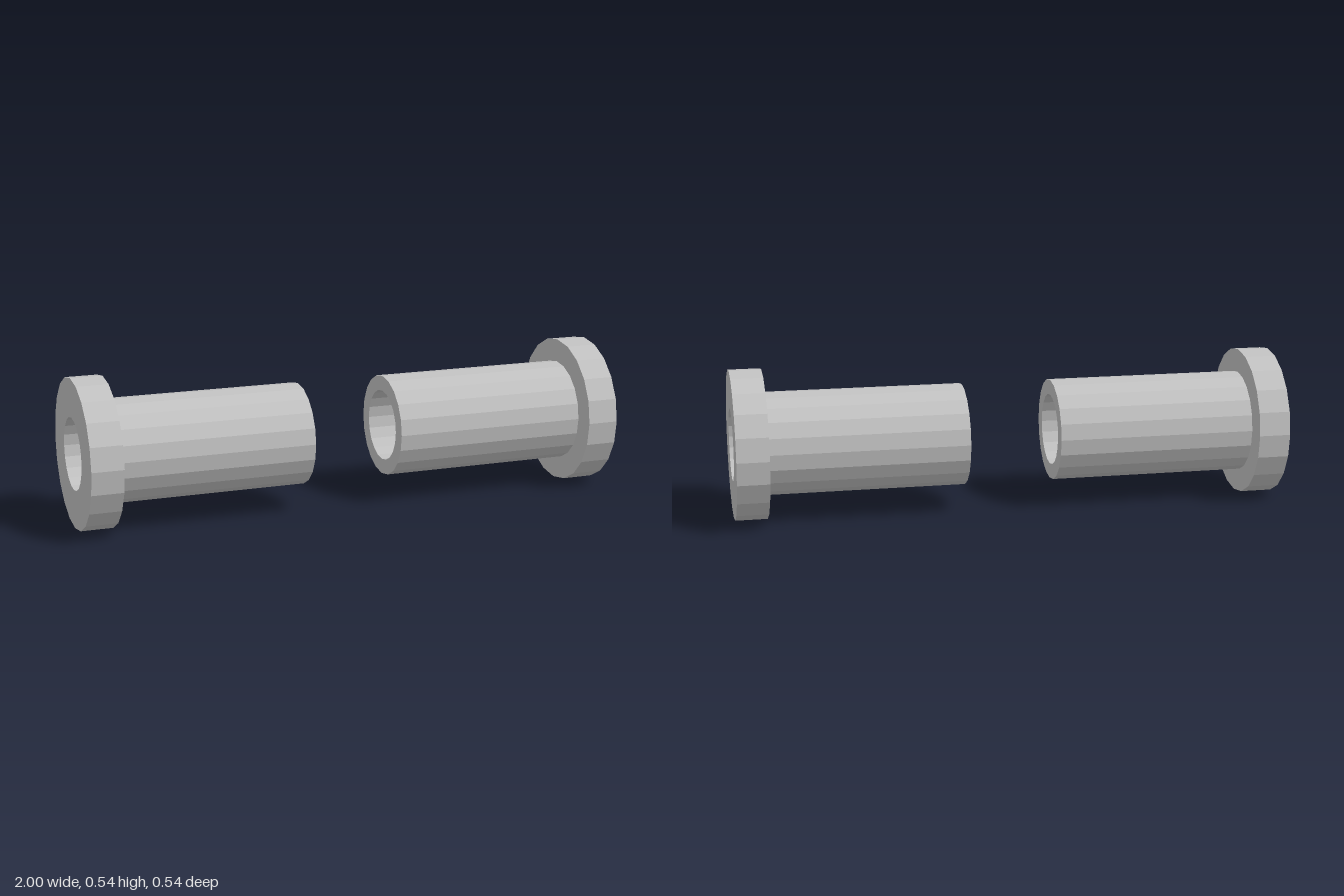
import * as THREE from 'three';

const SIDES = 20;
const RADIUS = { flange: 0.27, sleeve: 0.185, bore: 0.13 };
const X = { inner: 0.165, shoulder: 0.885, outer: 1 };

// Hollow flanged bushing: one closed profile (radius, distance from centre)
function bushingGeometry() {
  const profile = [
    [RADIUS.bore, X.inner],
    [RADIUS.sleeve, X.inner],
    [RADIUS.sleeve, X.shoulder],
    [RADIUS.flange, X.shoulder],
    [RADIUS.flange, X.outer],
    [RADIUS.bore, X.outer],
    [RADIUS.bore, X.inner],
  ].map(([r, d]) => new THREE.Vector2(r, d));
  return new THREE.LatheGeometry(profile, SIDES);
}

export function createModel() {
  const model = new THREE.Group();
  model.name = 'flangedBushings';

  const greyMetal = new THREE.MeshStandardMaterial({ color: 0xc0c0c0, flatShading: true });
  greyMetal.name = 'greyMetal';

  // A facing pair, flanges outward
  const geometry = bushingGeometry();
  for (const [name, side] of [['leftBushing', 1], ['rightBushing', -1]]) {
    const bushing = new THREE.Mesh(geometry, greyMetal);
    bushing.name = name;
    bushing.rotation.z = -side * Math.PI / 2;
    bushing.position.y = RADIUS.flange;
    model.add(bushing);
  }
  return model;
}
